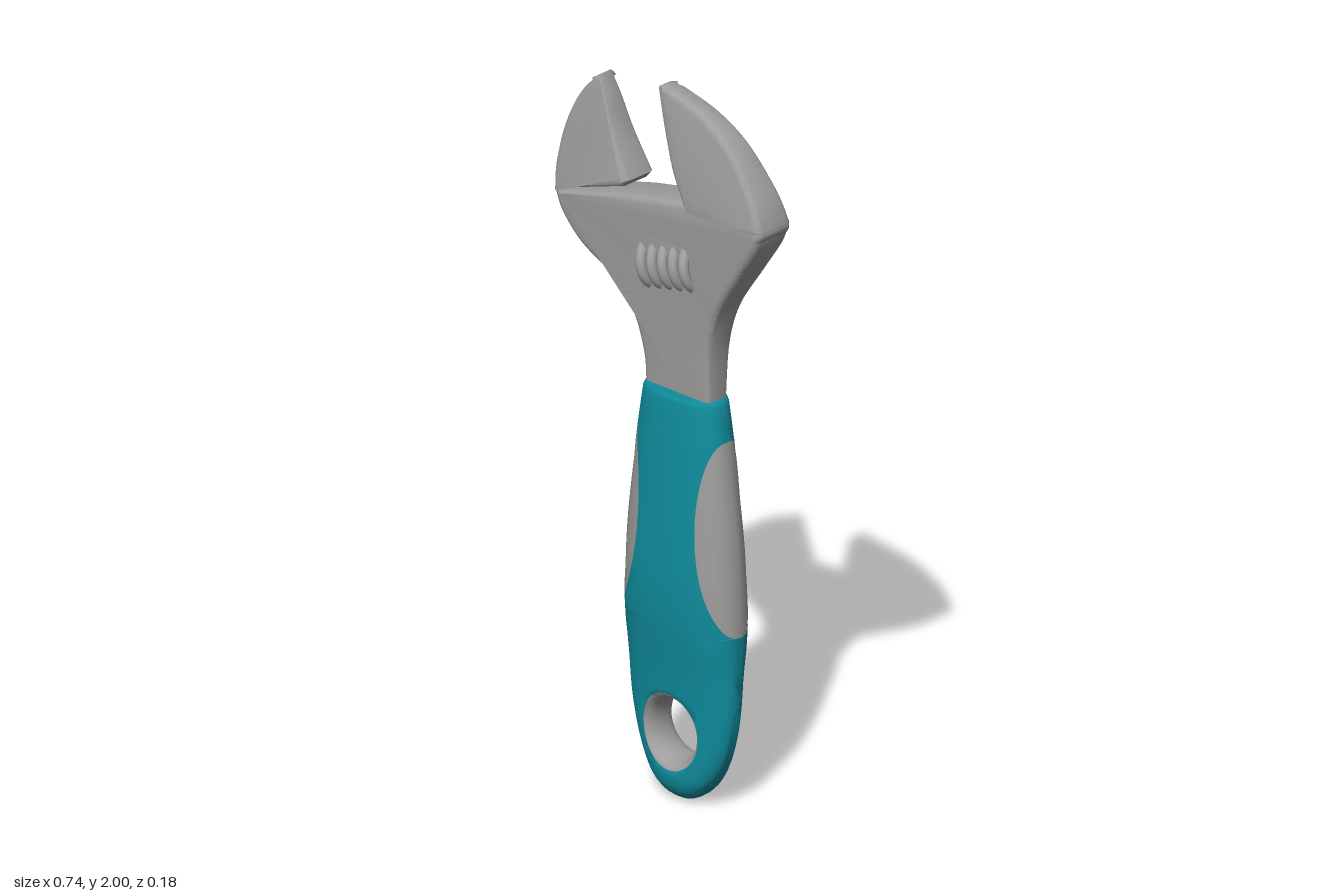
import * as THREE from 'three';
import { toCreasedNormals } from 'three/addons/utils/BufferGeometryUtils.js';

const steel = new THREE.MeshStandardMaterial({ name: 'grey steel', color: 0xa09e9c });
const teal = new THREE.MeshStandardMaterial({ name: 'teal rubber', color: 0x0f8c9c });

const points = (list) => list.map(([x, y]) => new THREE.Vector2(x, y));

// Bevelled plate whose half thickness changes evenly with height
function slab(name, shape, thickness) {
  const bevel = 0.3;
  const geo = new THREE.ExtrudeGeometry(shape, {
    depth: 2 - 2 * bevel, curveSegments: 24,
    bevelThickness: bevel, bevelSize: 0.018, bevelOffset: -0.018, bevelSegments: 3,
  });
  geo.translate(0, 0, bevel - 1);
  const p = geo.attributes.position;
  for (let i = 0; i < p.count; i++) p.setZ(i, p.getZ(i) * thickness(p.getY(i)));
  const mesh = new THREE.Mesh(toCreasedNormals(geo, 0.6), steel);
  mesh.name = name;
  return mesh;
}

function createHead() {
  const head = new THREE.Group();
  head.name = 'head';

  // Neck and lower head with the slot for the adjusting screw
  const body = new THREE.Shape();
  body.moveTo(0.087, 1.717);
  body.lineTo(0.37, 1.71);
  body.splineThru(points([[0.35, 1.65], [0.285, 1.55], [0.208, 1.43], [0.174, 1.315], [0.167, 1.16], [0.167, 1.1]]));
  body.lineTo(-0.063, 1.1);
  body.splineThru(points([[-0.063, 1.16], [-0.068, 1.24], [-0.1, 1.34], [-0.16, 1.415], [-0.28, 1.485], [-0.345, 1.555], [-0.368, 1.61]]));
  body.lineTo(-0.11, 1.678);
  body.closePath();
  body.holes.push(new THREE.Path(points([
    [-0.09, 1.567], [0.1, 1.603], [0.11, 1.595], [0.124, 1.49], [0.118, 1.472],
    [-0.025, 1.415], [-0.04, 1.42], [-0.095, 1.555],
  ])));
  head.add(slab('neck', body, (y) => 0.064 + 0.05 * (y - 1.7)));

  // Fixed jaw, thinning towards its tip
  const fixed = new THREE.Shape();
  fixed.moveTo(0.087, 1.717);
  fixed.splineThru(points([[0.045, 1.79], [0.005, 1.9], [-0.025, 2]]));
  fixed.lineTo(0.02, 2);
  fixed.splineThru(points([[0.14, 1.965], [0.245, 1.9], [0.335, 1.79], [0.37, 1.71], [0.363, 1.68]]));
  fixed.lineTo(0.1, 1.68);
  fixed.closePath();
  head.add(slab('fixedJaw', fixed, (y) => 0.064 - 0.115 * (y - 1.7)));

  // Sliding jaw
  const sliding = new THREE.Shape();
  sliding.moveTo(-0.367, 1.615);
  sliding.lineTo(-0.13, 1.69);
  sliding.lineTo(-0.113, 1.71);
  sliding.splineThru(points([[-0.172, 1.82], [-0.21, 1.91], [-0.24, 1.967]]));
  sliding.splineThru(points([[-0.3, 1.9], [-0.345, 1.8], [-0.367, 1.69], [-0.367, 1.615]]));
  head.add(slab('slidingJaw', sliding, (y) => 0.065 - 0.1 * (y - 1.62)));

  // Adjusting screw: core with threads
  const screw = new THREE.Group();
  screw.name = 'adjustingScrew';
  const core = new THREE.Mesh(new THREE.CylinderGeometry(0.052, 0.052, 0.17, 24), steel);
  core.name = 'screwCore';
  core.rotation.z = Math.PI / 2;
  const axle = new THREE.Mesh(new THREE.CylinderGeometry(0.02, 0.02, 0.22, 16), steel);
  axle.name = 'screwAxle';
  axle.rotation.z = Math.PI / 2;
  screw.add(core, axle);
  for (let i = 0; i < 5; i++) {
    const thread = new THREE.Mesh(new THREE.TorusGeometry(0.068, 0.015, 10, 32), steel);
    thread.name = 'screwThread';
    thread.rotation.y = Math.PI / 2 + 0.1;
    thread.position.x = (i - 2) * 0.039;
    screw.add(thread);
  }
  screw.position.set(0.025, 1.512, 0);
  screw.rotation.z = 0.2;
  head.add(screw);
  return head;
}

// Handle sections: height -> half width and half depth
const CX = 0.052, SEAM = 0.36, TOP = 1.16, POWER = 2.4;
const sections = new THREE.CubicInterpolant(
  [0, 0.1, 0.25, 0.36, 0.5, 0.62, 0.75, 0.9, 1.05, 1.16],
  [0.187, 0.062, 0.187, 0.062, 0.187, 0.06, 0.187, 0.067, 0.196, 0.084,
    0.193, 0.09, 0.185, 0.087, 0.168, 0.081, 0.148, 0.074, 0.13, 0.068], 2);

function section(y) {
  let [w, d] = sections.evaluate(y);
  if (y < SEAM) w *= Math.sqrt(Math.max(0, 1 - ((SEAM - y) / SEAM) ** 2));
  if (y < 0.08) d *= Math.sqrt(Math.max(0, 1 - ((0.08 - y) / 0.08) ** 2));
  return [w, d];
}

// Point on the rounded cross-section at a given angle
function ringPoint(angle, y, scale = 1) {
  const [w, d] = section(y);
  const bend = (v) => Math.sign(v) * Math.abs(v) ** (2 / POWER);
  return [CX + scale * w * bend(Math.cos(angle)), y, scale * d * bend(Math.sin(angle))];
}

// Depth of the handle surface above a point of its middle plane
function depthAt(x, y) {
  const [w, d] = section(y);
  const u = Math.min(1, Math.abs(x - CX) / Math.max(w, 1e-6));
  return d * (1 - u ** POWER) ** (1 / POWER);
}

// Half angle covered by the side panels
function panelAngle(y) {
  const t = (y - 0.51) / 0.54;
  return t > 0 && t < 1 ? Math.max(0.03, 1.05 * (4 * t * (1 - t)) ** 0.4) : 0.03;
}

function createHandle() {
  const rubber = [], panels = [];
  const quad = (list, a, b, c, d) => list.push(...a, ...b, ...c, ...a, ...c, ...d);
  const SIDE = 6, FACE = 16;

  // Angles round the section: side panel, front, side panel, back
  const ringAngles = (y) => {
    const a = panelAngle(y), out = [];
    for (let half = 0; half < 2; half++) {
      const start = half * Math.PI;
      for (let i = 0; i < SIDE; i++) out.push(start - a + (2 * a * i) / SIDE);
      for (let i = 0; i < FACE; i++) out.push(start + a + ((Math.PI - 2 * a) * i) / FACE);
    }
    return out;
  };

  // Upper grip
  const levels = [[SEAM, 1], [0.41, 1], [0.46, 1]];
  for (let i = 0; i <= 36; i++) {
    levels.push([0.51 + 0.27 * (1 - Math.cos((Math.PI * i) / 36)), 1]);
  }
  levels.push([1.1, 1], [1.145, 1], [1.155, 0.98], [TOP, 0.93], [TOP, 0]);
  const rings = levels.map(([y, s]) => ringAngles(y).map((a) => ringPoint(a, y, s)));
  const count = rings[0].length;
  for (let r = 0; r + 1 < rings.length; r++) {
    const mid = (levels[r][0] + levels[r + 1][0]) / 2;
    for (let k = 0; k < count; k++) {
      const n = (k + 1) % count;
      const onPanel = k % (SIDE + FACE) < SIDE && mid > 0.51 && mid < 1.05;
      quad(onPanel ? panels : rubber, rings[r][k], rings[r + 1][k], rings[r + 1][n], rings[r][n]);
    }
  }

  // Rounded end: border of the face, then inwards to the hanging hole
  const border = [];
  for (let i = 0; i < 40; i++) {
    const a = (Math.PI * i) / 40, y = SEAM * (1 - Math.sin(a));
    border.push([CX + Math.sign(Math.cos(a)) * section(y)[0], y, 0]);
  }
  ringAngles(SEAM).filter((a) => a > 1e-6 && a < Math.PI + 1e-6).reverse()
    .forEach((a) => border.push(ringPoint(a, SEAM)));
  const HX = 0.046, HY = 0.2;
  const rim = border.map(([x, y]) => {
    const a = Math.atan2(y - HY, x - HX);
    return [HX + 0.098 * Math.cos(a), HY + 0.108 * Math.sin(a)];
  });
  const rows = [border], STEPS = 10;
  for (let j = 1; j <= STEPS; j++) {
    const s = (j / STEPS) ** 2;
    rows.push(border.map(([bx, by], k) => {
      const x = bx + (rim[k][0] - bx) * s, y = by + (rim[k][1] - by) * s;
      return [x, y, depthAt(x, y)];
    }));
  }
  // Grey lining of the hole
  for (const [s, depth] of [[0.9, 0.85], [0.82, 0.6], [0.79, 0.3], [0.78, 0]]) {
    rows.push(rim.map(([x, y]) => [HX + (x - HX) * s, HY + (y - HY) * s, depthAt(x, y) * depth]));
  }
  const back = ([x, y, z]) => [x, y, -z];
  for (let r = 0; r + 1 < rows.length; r++) {
    const list = r < STEPS ? rubber : panels;
    for (let k = 0; k < border.length; k++) {
      const n = (k + 1) % border.length;
      const c = [rows[r][k], rows[r + 1][k], rows[r + 1][n], rows[r][n]];
      quad(list, ...c);
      quad(list, ...c.map(back).reverse());
    }
  }

  const geo = new THREE.BufferGeometry();
  geo.setAttribute('position', new THREE.Float32BufferAttribute([...rubber, ...panels], 3));
  geo.addGroup(0, rubber.length / 3, 0);
  geo.addGroup(rubber.length / 3, panels.length / 3, 1);
  const mesh = new THREE.Mesh(toCreasedNormals(geo, 0.8), [teal, steel]);
  mesh.name = 'handle';
  return mesh;
}

export function createModel() {
  const model = new THREE.Group();
  model.name = 'adjustableWrench';
  model.add(createHead(), createHandle());
  return model;
}
